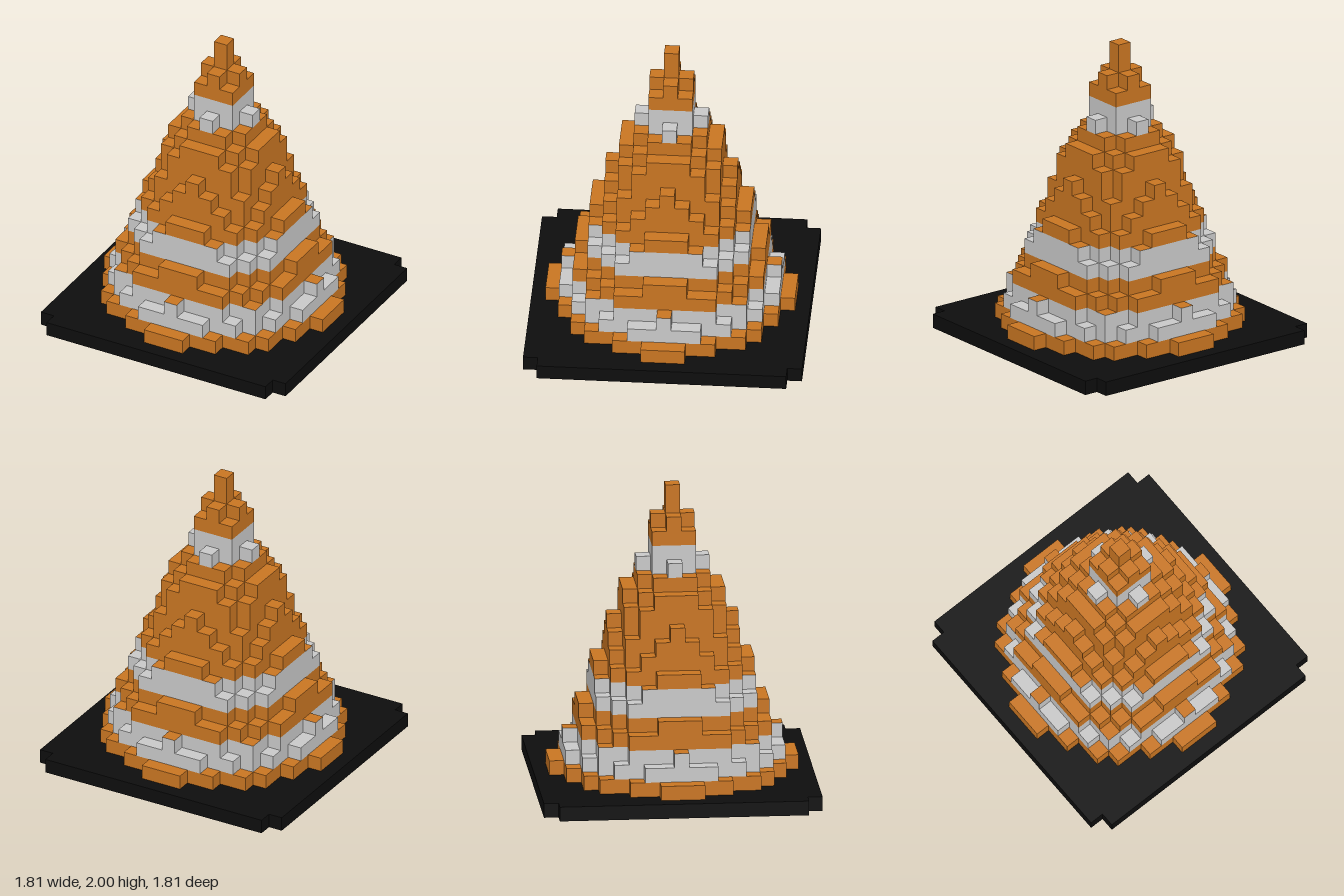
import * as THREE from 'three';

const U = 2 / 21; // one block

const mat = (name, color) => {
  const m = new THREE.MeshStandardMaterial({ color });
  m.name = name;
  return m;
};

// Stepped slab: halfWidth(z) gives the half-width in blocks of each row z = -n..n
function slab(n, halfWidth, level) {
  const right = [];
  for (let z = -n; z <= n; z++) {
    const x = halfWidth(Math.abs(z)) + 0.5;
    const last = right[right.length - 1];
    if (last && last[0] === x) last[1] = z + 0.5;
    else right.push([x, z - 0.5], [x, z + 0.5]);
  }
  const left = right.map(([x, z]) => [-x, z]).reverse();
  const pts = [...right, ...left].map(([x, z]) => new THREE.Vector2(x * U, z * U));
  const geo = new THREE.ExtrudeGeometry(new THREE.Shape(pts), { depth: U, bevelEnabled: false });
  return geo.rotateX(-Math.PI / 2).translate(0, level * U, 0);
}

// Squared radius in blocks of each cone layer, bottom to top
const RADII = [64, 57, 50, 45, 39, 35, 31, 27, 23, 19, 16, 13, 10, 5, 4, 2, 2, 1, 0, 0];

// Is block (x, z) inside the given layer?
function inside(level, x, z) {
  const far = Math.max(x, z), near = Math.min(x, z);
  if (level === 1 && far === 8 && near === 1) return true;  // wider foot tips
  if (level === 3 && far === 7 && near === 1) return false; // single-block tips
  return x * x + z * z <= RADII[level - 1];
}

export function createModel() {
  const orange = mat('orange', 0xc87522);
  const white = mat('reflective white', 0xc8c8c8);
  const black = mat('black rubber', 0x0d0d0d);
  const model = new THREE.Group();
  model.name = 'trafficCone';

  // Square base with notched corners
  const base = new THREE.Mesh(slab(9, z => (z === 9 ? 8 : 9), 0), black);
  base.name = 'base';
  model.add(base);

  // Cone layers; white bands have orange ledges at their upper edge
  const cone = new THREE.Group();
  cone.name = 'cone';
  const whiteLayers = [2, 3, 6, 7, 15, 16];
  const orangeLedges = [3, 7, 16];
  RADII.forEach((r2, i) => {
    const level = i + 1;
    const n = Math.floor(Math.sqrt(r2));
    const halfWidth = z => {
      let x = 0;
      while (inside(level, x + 1, z)) x++;
      return x;
    };
    const isWhite = whiteLayers.includes(level);
    const side = isWhite ? white : orange;
    const cap = orangeLedges.includes(level) ? orange : side;
    const layer = new THREE.Mesh(slab(n, halfWidth, level), [cap, side]);
    layer.name = (isWhite ? 'whiteBandLayer' : 'orangeLayer') + level;
    cone.add(layer);
  });
  model.add(cone);
  return model;
}
